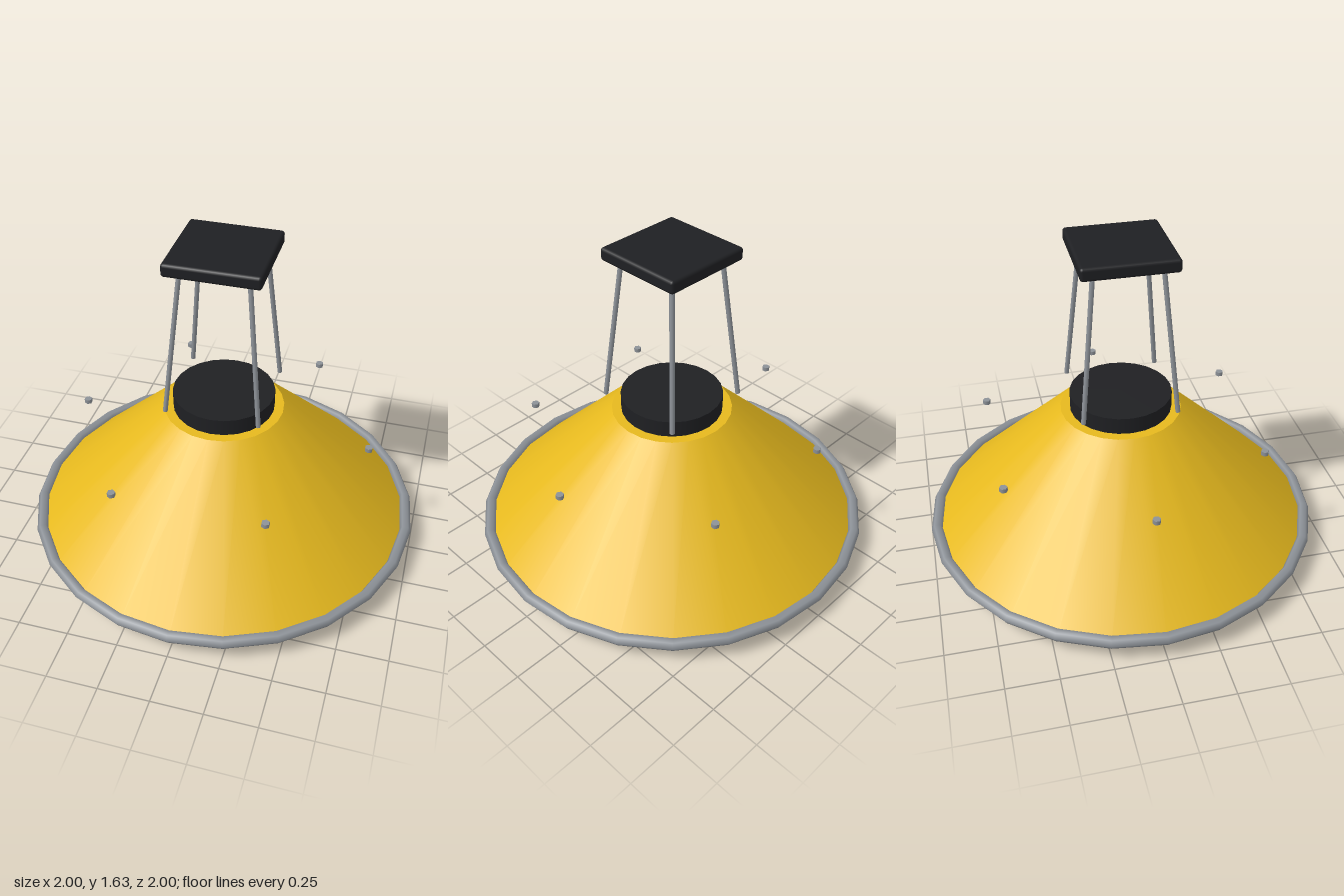
import * as THREE from 'three';
import { RoundedBoxGeometry } from 'three/addons/geometries/RoundedBoxGeometry.js';

const SIDES = 24;
const paint = (color) => new THREE.MeshStandardMaterial({ color });

export function createModel() {
  const model = new THREE.Group();
  model.name = 'pendantLamp';
  const yellow = paint(0xe6b91e);
  const dark = paint(0x1f2023);
  const black = paint(0x0c0c0d);
  const metal = paint(0x8d9298);

  const add = (name, geometry, material, x = 0, y = 0, z = 0) => {
    const mesh = new THREE.Mesh(geometry, material);
    mesh.name = name;
    mesh.position.set(x, y, z);
    model.add(mesh);
    return mesh;
  };
  // upright cylinder given by its bottom and top heights
  const drum = (name, rTop, rBottom, y0, y1, material, sides = SIDES) =>
    add(name, new THREE.CylinderGeometry(rTop, rBottom, y1 - y0, sides), material, 0, (y0 + y1) / 2, 0);

  // conical shade with its collar
  drum('shade', 0.3, 0.95, 0.11, 0.75, yellow);
  drum('collar', 0.253, 0.253, 0.75, 0.835, dark);

  // six-sided ring round the lower edge
  const rim = new THREE.TorusGeometry(0.97, 0.03, 6, SIDES);
  rim.rotateX(Math.PI / 2);
  add('rim', rim, metal, 0, 0.11, 0);

  // lamp disc and socket underneath
  drum('lampDisc', 0.55, 0.55, 0.075, 0.105, black);
  drum('socket', 0.11, 0.11, 0, 0.09, dark);

  // ceiling plate
  add('ceilingPlate', new RoundedBoxGeometry(0.456, 0.065, 0.456, 2, 0.015), dark, 0, 1.593, 0);

  // four rods leaning in towards the plate
  const up = new THREE.Vector3(0, 1, 0);
  for (const sx of [-1, 1]) {
    for (const sz of [-1, 1]) {
      const low = new THREE.Vector3(sx * 0.23, 0.825, sz * 0.23);
      const high = new THREE.Vector3(sx * 0.16, 1.575, sz * 0.16);
      const span = high.clone().sub(low);
      const rod = add('rod', new THREE.CylinderGeometry(0.012, 0.012, span.length(), 8), metal);
      rod.position.copy(low).add(high).multiplyScalar(0.5);
      rod.quaternion.setFromUnitVectors(up, span.normalize());
    }
  }

  // ring of hexagonal bolts standing off the shade
  const bolt = new THREE.CylinderGeometry(0.02, 0.02, 0.022, 6);
  for (let i = 0; i < 6; i++) {
    const a = (i * Math.PI) / 3;
    add('bolt', bolt, metal, 0.737 * Math.cos(a), 0.614, 0.737 * Math.sin(a));
  }
  return model;
}
